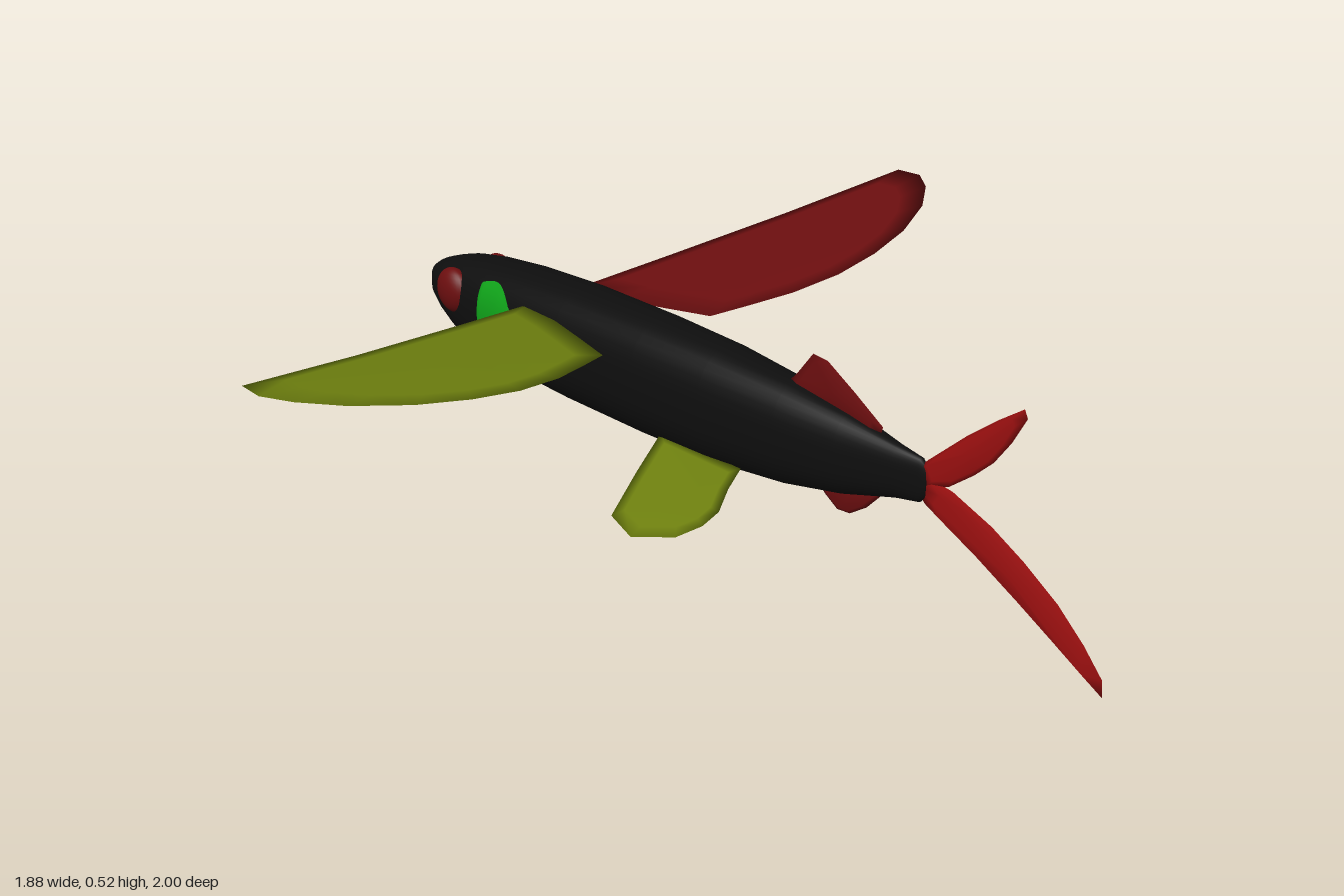
import * as THREE from 'three';

const paint = (name, color) => {
  const m = new THREE.MeshStandardMaterial({ color });
  m.name = name;
  return m;
};

// Body stations: z, top, bottom, half width
const STATIONS = [
  [-1, 0.305, 0.285, 0.006], [-0.988, 0.33, 0.265, 0.03], [-0.96, 0.348, 0.246, 0.051],
  [-0.92, 0.363, 0.222, 0.066], [-0.87, 0.378, 0.195, 0.077], [-0.78, 0.393, 0.173, 0.09],
  [-0.65, 0.405, 0.156, 0.101], [-0.45, 0.414, 0.148, 0.104], [-0.2, 0.414, 0.145, 0.1],
  [0, 0.409, 0.148, 0.091], [0.2, 0.393, 0.168, 0.073], [0.35, 0.372, 0.196, 0.05],
  [0.48, 0.348, 0.233, 0.023], [0.54, 0.34, 0.244, 0.013], [0.555, 0.325, 0.26, 0.006],
];
const POWER = 2.5;

function section(z) {
  let i = 0;
  while (i < STATIONS.length - 2 && z > STATIONS[i + 1][0]) i++;
  const a = STATIONS[i], b = STATIONS[i + 1];
  const t = THREE.MathUtils.clamp((z - a[0]) / (b[0] - a[0]), 0, 1);
  const [, top, bottom, w] = a.map((v, k) => v + (b[k] - v) * t);
  return { cy: (top + bottom) / 2, h: (top - bottom) / 2, w };
}

// Point on the squarish oval section, pushed out by d
function skin(z, angle, d = 0) {
  const { cy, h, w } = section(z);
  const p = (v) => Math.sign(v) * Math.abs(v) ** (2 / POWER);
  return [(w + d) * p(Math.cos(angle)), cy + (h + d) * p(Math.sin(angle)), z];
}

// Angle on the section at a given height
function angleAt(z, y) {
  const { cy, h } = section(z);
  const t = THREE.MathUtils.clamp((y - cy) / h, -1, 1);
  return Math.asin(Math.sign(t) * Math.abs(t) ** (POWER / 2));
}

// Indexed smooth geometry; flip reverses the corner order
function solid(points, index, flip) {
  const g = new THREE.BufferGeometry();
  g.setAttribute('position', new THREE.Float32BufferAttribute(points.flat(), 3));
  if (flip) for (let i = 0; i < index.length; i += 3) [index[i], index[i + 1]] = [index[i + 1], index[i]];
  g.setIndex(index);
  g.computeVertexNormals();
  return g;
}

function signedVolume(points, index) {
  let v = 0;
  const [a, b, c] = [0, 1, 2].map(() => new THREE.Vector3());
  for (let i = 0; i < index.length; i += 3) {
    a.fromArray(points[index[i]]); b.fromArray(points[index[i + 1]]); c.fromArray(points[index[i + 2]]);
    v += a.dot(b.cross(c));
  }
  return v;
}

function bodyGeometry(sides = 32) {
  const points = [], index = [], n = STATIONS.length;
  for (const [z] of STATIONS)
    for (let j = 0; j < sides; j++) points.push(skin(z, (j / sides) * Math.PI * 2));
  for (let i = 0; i < n - 1; i++)
    for (let j = 0; j < sides; j++) {
      const k = (j + 1) % sides, a = i * sides;
      index.push(a + j, a + sides + j, a + k, a + k, a + sides + j, a + sides + k);
    }
  for (const i of [0, n - 1]) {
    const c = points.length, { cy } = section(STATIONS[i][0]);
    points.push([0, cy, STATIONS[i][0]]);
    for (let j = 0; j < sides; j++) {
      const a = i * sides + j, b = i * sides + ((j + 1) % sides);
      index.push(c, i ? b : a, i ? a : b);
    }
  }
  return solid(points, index, signedVolume(points, index) < 0);
}

// Thin plate hugging one flank, between the heights low(t) and high(t)
function patchGeometry(side, z0, z1, low, high, lift) {
  const points = [], index = [], nu = 16, nv = 10;
  for (let i = 0; i <= nu; i++) {
    const t = i / nu, z = z0 + (z1 - z0) * t;
    const a0 = angleAt(z, low(t)), a1 = angleAt(z, high(t));
    for (let j = 0; j <= nv; j++) {
      const edge = i === 0 || i === nu;
      const [x, y] = skin(z, a0 + ((a1 - a0) * j) / nv, edge ? lift * 0.4 : lift);
      points.push([x * side, y, z]);
    }
  }
  for (let i = 0; i < nu; i++)
    for (let j = 0; j < nv; j++) {
      const a = i * (nv + 1) + j, b = a + nv + 1;
      index.push(a, a + 1, b, b, a + 1, b + 1);
    }
  return solid(points, index, side < 0);
}

// Lens-section fin from a flat outline; place(u, v, w) puts it in space
function finGeometry(outline, thick, place) {
  const n = outline.length, points = [], index = [];
  const cu = outline.reduce((s, p) => s + p[0], 0) / n;
  const cv = outline.reduce((s, p) => s + p[1], 0) / n;
  const ring = (k, w) => outline.forEach(([u, v]) =>
    points.push(place(cu + (u - cu) * k, cv + (v - cv) * k, w)));
  ring(1, 0);
  ring(0.8, thick);
  ring(0.8, -thick);
  points.push(place(cu, cv, thick), place(cu, cv, -thick));
  for (let i = 0; i < n; i++) {
    const j = (i + 1) % n;
    index.push(i, j, n + i, n + i, j, n + j, n + i, n + j, 3 * n);
    index.push(j, i, 2 * n + i, j, 2 * n + i, 2 * n + j, 2 * n + j, 2 * n + i, 3 * n + 1);
  }
  return solid(points, index, signedVolume(points, index) < 0);
}

// Paired fins as (x, z), middle fins as (z, y)
const WING = [[0.07, -0.575], [0.3, -0.52], [0.62, -0.44], [0.935, -0.365], [0.94, -0.3], [0.9, -0.245],
  [0.82, -0.185], [0.7, -0.137], [0.58, -0.117], [0.46, -0.117], [0.34, -0.143], [0.24, -0.183],
  [0.157, -0.218], [0.125, -0.33], [0.09, -0.46]];
const PELVIC = [[0.06, -0.145], [0.2, -0.07], [0.34, 0.01], [0.368, 0.1], [0.315, 0.175], [0.255, 0.19],
  [0.2, 0.18], [0.13, 0.135], [0.06, 0.1]];
const DORSAL = [[0.17, 0.38], [0.2, 0.41], [0.245, 0.468], [0.285, 0.465], [0.36, 0.42], [0.437, 0.37],
  [0.43, 0.345], [0.3, 0.36]];
const ANAL = [[0.26, 0.2], [0.285, 0.17], [0.32, 0.147], [0.355, 0.15], [0.4, 0.18], [0.44, 0.222],
  [0.4, 0.235]];
const TAIL_TOP = [[0.53, 0.315], [0.555, 0.34], [0.65, 0.425], [0.72, 0.48], [0.78, 0.522], [0.788, 0.505],
  [0.755, 0.445], [0.715, 0.39], [0.67, 0.348], [0.61, 0.302], [0.55, 0.28]];
const TAIL_LOW = [[0.53, 0.275], [0.55, 0.245], [0.67, 0.187], [0.8, 0.117], [0.91, 0.055], [1, 0.003],
  [0.997, 0.04], [0.95, 0.095], [0.885, 0.155], [0.8, 0.212], [0.72, 0.256], [0.62, 0.295], [0.55, 0.305]];

export function createModel() {
  const model = new THREE.Group();
  const black = paint('bodyBlack', 0x0e0e0e);
  const finRed = paint('finRed', 0x6b0e0f);
  const tailRed = paint('tailRed', 0x9c1010);
  const olive = paint('finOlive', 0x6f810f);
  const green = paint('gillGreen', 0x0fa019);
  const purple = paint('mouthPurple', 0x4a1a94);
  const add = (name, geometry, material) => {
    const mesh = new THREE.Mesh(geometry, material);
    mesh.name = name;
    model.add(mesh);
    return mesh;
  };

  add('body', bodyGeometry(), black);

  for (const s of [1, -1]) {
    const side = s > 0 ? 'left' : 'right';
    const fin = s > 0 ? finRed : olive;

    // Paired fins: wings slant up, pelvic fins slant down
    add(side + 'Wing', finGeometry(WING, 0.006, (u, v, w) =>
      [s * u, 0.347 + 0.135 * u + 0.022 * u * u + w, v]), fin);
    add(side + 'PelvicFin', finGeometry(PELVIC, 0.005, (u, v, w) =>
      [s * u, 0.19 - 0.15 * u + w, v]), fin);

    // Eye dome
    const eye = add(side + 'Eye', new THREE.SphereGeometry(1, 24, 16), finRed);
    eye.scale.set(0.031, 0.055, 0.055);
    eye.position.set(s * 0.066, 0.313, -0.85);

    // Gill cover, lips and chin
    add(side + 'Gill', patchGeometry(s, -0.73, -0.6,
      (t) => 0.2 + 0.05 * (1 - t) ** 2 - 0.005 * t,
      (t) => 0.365 + 0.015 * Math.sin(Math.PI * t) - 0.03 * t ** 4, 0.007), green);
    add(side + 'Lip', patchGeometry(s, -0.992, -0.865,
      (t) => 0.262 - 0.06 * t, (t) => 0.286 - 0.058 * t - 0.018 * t ** 4, 0.004), purple);
    add(side + 'Chin', patchGeometry(s, -0.985, -0.865,
      () => 0, (t) => 0.259 - 0.06 * t, 0.003), tailRed);
  }

  // Middle fins and forked tail
  const upright = (u, v, w) => [w, v, u];
  add('dorsalFin', finGeometry(DORSAL, 0.006, upright), finRed);
  add('analFin', finGeometry(ANAL, 0.006, upright), finRed);
  add('upperTail', finGeometry(TAIL_TOP, 0.007, upright), tailRed);
  add('lowerTail', finGeometry(TAIL_LOW, 0.007, upright), tailRed);
  return model;
}
